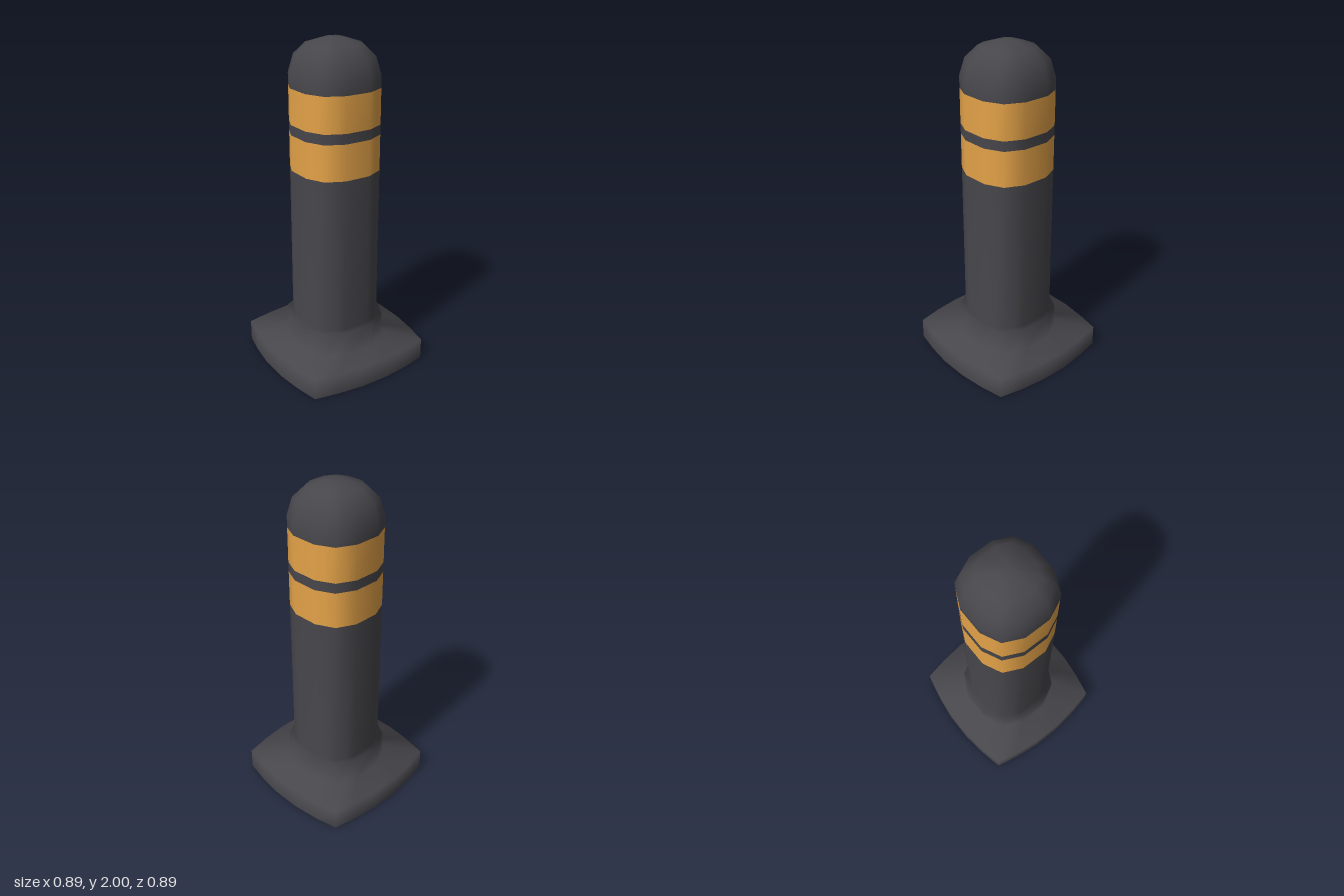
import * as THREE from 'three';

// One side of each cross-section as [x, z]; the other three are quarter turns of it.
const PLATE = [[0.425, -0.25], [0.445, -0.09], [0.445, 0.09], [0.425, 0.25], [0.395, 0.395]];
const COLLAR = [[0.2465, -0.1525], [0.278, -0.09], [0.278, 0.09], [0.2465, 0.1525], [0.215, 0.215]];
const POST = [[0.216, -0.135], [0.242, -0.08], [0.242, 0.08], [0.216, 0.135], [0.19, 0.19]];
const SIDES = 20;

// Stacked cross-sections: [outline, height, scale]
const RINGS = [
  [PLATE, 0, 1], [PLATE, 0.13, 1],
  [COLLAR, 0.13, 1], [COLLAR, 0.285, 1],
  [POST, 0.285, 1], [POST, 1.24, 1], [POST, 1.455, 1], [POST, 1.515, 1], [POST, 1.725, 1], [POST, 1.795, 1],
  [POST, 1.9, 0.88], [POST, 1.968, 0.61], [POST, 2, 0.21],
];

function ringPoints([outline, y, scale]) {
  const points = [];
  for (let turn = 0; turn < 4; turn++) {
    for (let [x, z] of outline) {
      for (let k = 0; k < turn; k++) [x, z] = [-z, x];
      points.push(x * scale, y, z * scale);
    }
  }
  return points;
}

// Triangles joining ring `from` up to ring `to`
function bandIndex(from, to) {
  const index = [];
  for (let r = from; r < to; r++) {
    for (let j = 0; j < SIDES; j++) {
      const a = r * SIDES + j, b = r * SIDES + (j + 1) % SIDES;
      const d = a + SIDES, c = b + SIDES;
      index.push(a, d, b, b, d, c);
    }
  }
  return index;
}

export function createModel() {
  const rubber = new THREE.MeshStandardMaterial({ color: 0x47464b, side: THREE.DoubleSide });
  rubber.name = 'dark rubber';
  const amber = new THREE.MeshStandardMaterial({ color: 0xe3a248, side: THREE.DoubleSide });
  amber.name = 'amber band';

  // Whole hollow shell, so that normals run smoothly across the parts
  const last = RINGS.length - 1;
  const positions = RINGS.flatMap(ringPoints);
  const centre = positions.length / 3;
  positions.push(0, 2, 0);
  const cap = [];
  for (let j = 0; j < SIDES; j++) {
    cap.push(last * SIDES + j, centre, last * SIDES + (j + 1) % SIDES);
  }
  const shell = new THREE.BufferGeometry();
  shell.setAttribute('position', new THREE.Float32BufferAttribute(positions, 3));
  shell.setIndex([...bandIndex(0, last), ...cap]);
  shell.computeVertexNormals();

  const group = new THREE.Group();
  group.name = 'bollard';
  const addPart = (name, material, index) => {
    const geometry = new THREE.BufferGeometry();
    geometry.setAttribute('position', shell.attributes.position);
    geometry.setAttribute('normal', shell.attributes.normal);
    geometry.setIndex(index);
    const mesh = new THREE.Mesh(geometry, material);
    mesh.name = name;
    group.add(mesh);
  };

  addPart('basePlate', rubber, bandIndex(0, 2));
  addPart('collar', rubber, bandIndex(2, 4));
  addPart('post', rubber, bandIndex(4, 5));
  addPart('lowerStripe', amber, bandIndex(5, 6));
  addPart('stripeGap', rubber, bandIndex(6, 7));
  addPart('upperStripe', amber, bandIndex(7, 8));
  addPart('domedTop', rubber, [...bandIndex(8, last), ...cap]);
  return group;
}
